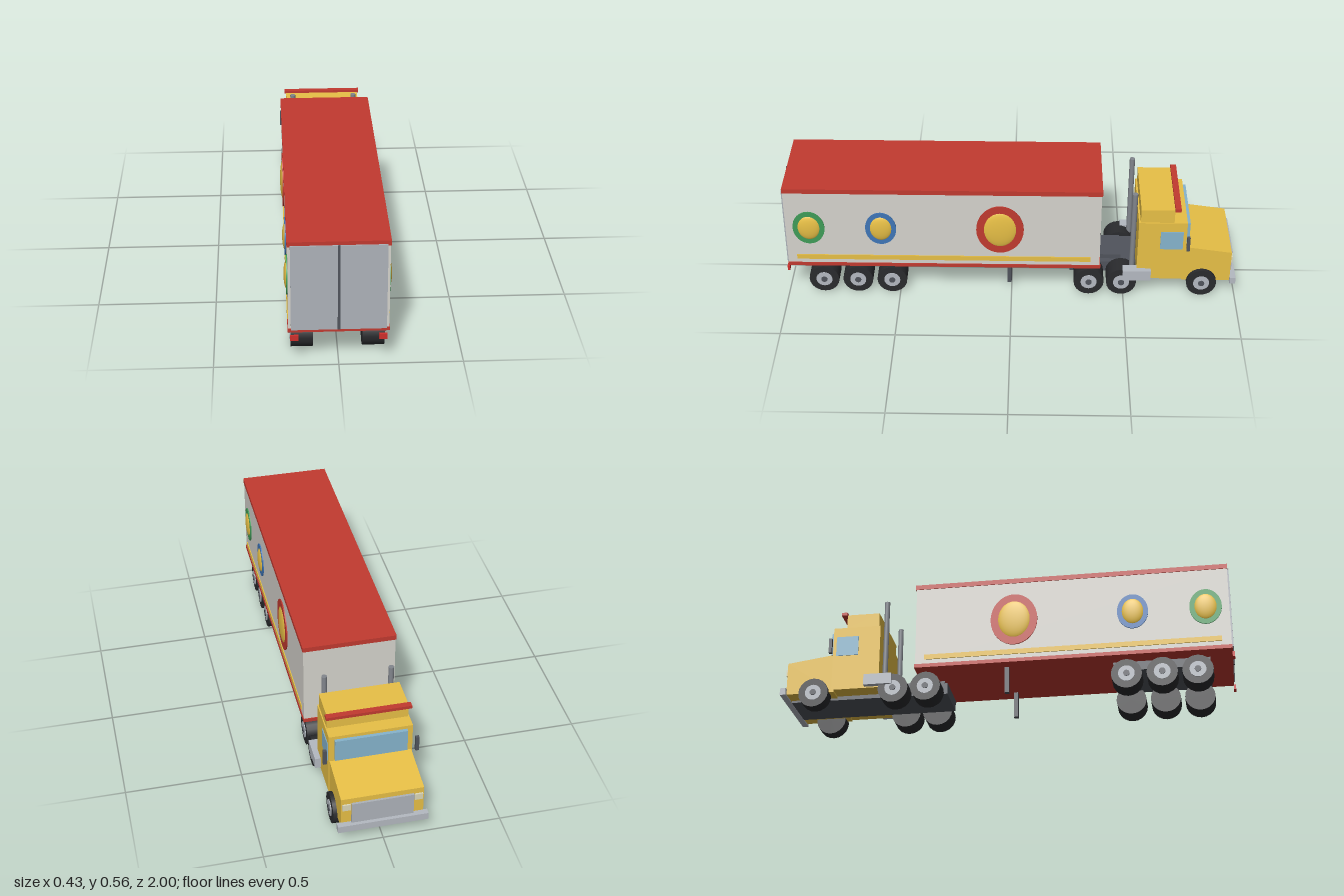
import * as THREE from 'three';

const mat = (color) => new THREE.MeshStandardMaterial({ color });
const M = {
  red: mat(0xc23a30), yellow: mat(0xe8c046), cream: mat(0xd6d4cd), door: mat(0xaeb3ba),
  dark: mat(0x50545c), chrome: mat(0xb4b9c1), steel: mat(0x82868d), glass: mat(0x86b4cd),
  tyre: mat(0x2a2b2e), green: mat(0x3f9d58), blue: mat(0x3f76b8), lamp: mat(0xddd8b8), lampRed: mat(0xd0302c),
};

export function createModel() {
  const root = new THREE.Group();
  root.name = 'articulatedTruck';

  const group = (name, parent = root) => {
    const g = new THREE.Group();
    g.name = name;
    parent.add(g);
    return g;
  };
  const add = (parent, name, geometry, material) => {
    const mesh = new THREE.Mesh(geometry, material);
    mesh.name = name;
    parent.add(mesh);
    return mesh;
  };
  // Box given by its extents on each axis
  const box = (parent, name, material, [x0, x1], [y0, y1], [z0, z1]) => {
    const m = add(parent, name, new THREE.BoxGeometry(x1 - x0, y1 - y0, z1 - z0), material);
    m.position.set((x0 + x1) / 2, (y0 + y1) / 2, (z0 + z1) / 2);
    return m;
  };
  // The same box on both sides, x given for the left (+x)
  const pair = (parent, name, material, [x0, x1], ys, zs) => {
    box(parent, name + 'Left', material, [x0, x1], ys, zs);
    box(parent, name + 'Right', material, [-x1, -x0], ys, zs);
  };
  // Cylinder lying along x from x0 to x1
  const disc = (parent, name, material, r, x0, x1, sides = 20) => {
    const g = new THREE.CylinderGeometry(r, r, x1 - x0, sides).rotateZ(-Math.PI / 2);
    const m = add(parent, name, g, material);
    m.position.x = (x0 + x1) / 2;
    return m;
  };
  const wheels = (parent, name, z, inner) => {
    for (const side of [1, -1]) {
      const w = group(name + (side > 0 ? 'Left' : 'Right'), parent);
      w.position.set(0, 0.067, z);
      if (side < 0) w.rotation.y = Math.PI;
      disc(w, 'tyre', M.tyre, 0.067, inner, 0.19);
      disc(w, 'rim', M.chrome, 0.036, 0.16, 0.193);
      disc(w, 'hub', M.dark, 0.014, 0.16, 0.197, 12);
    }
  };

  // Trailer body
  const trailer = group('trailer');
  box(trailer, 'cargoBox', M.cream, [-0.2, 0.2], [0.16, 0.54], [-0.39, 0.99]);
  box(trailer, 'roof', M.red, [-0.203, 0.203], [0.534, 0.556], [-0.394, 0.992]);
  box(trailer, 'floorRail', M.red, [-0.203, 0.203], [0.15, 0.167], [-0.394, 0.992]);
  pair(trailer, 'rearDoor', M.door, [0.004, 0.19], [0.163, 0.54], [0.98, 0.997]);
  box(trailer, 'doorSeam', M.dark, [-0.005, 0.005], [0.163, 0.54], [0.98, 1]);
  pair(trailer, 'sideStripe', M.yellow, [0.195, 0.204], [0.187, 0.21], [-0.35, 0.95]);
  pair(trailer, 'tailLamp', M.lampRed, [0.16, 0.193], [0.115, 0.138], [0.99, 1]);
  pair(trailer, 'landingLeg', M.dark, [0.13, 0.15], [0.03, 0.155], [0, 0.02]);
  box(trailer, 'bogie', M.dark, [-0.125, 0.125], [0.11, 0.152], [0.475, 0.895]);
  for (const z of [0.84, 0.688, 0.535]) wheels(trailer, 'trailerWheel', z, 0.1);

  // Oval medallions: a flat coloured ring with a shallow dome
  const medallions = [
    [M.red, 0.05, 0.104, 0.122, 0.075, 0.092],
    [M.blue, 0.572, 0.068, 0.082, 0.05, 0.063],
    [M.green, 0.888, 0.07, 0.083, 0.051, 0.063],
  ];
  for (const [color, z, rz, ry, domeZ, domeY] of medallions) {
    for (const side of [1, -1]) {
      const m = group('medallion' + (side > 0 ? 'Left' : 'Right'), trailer);
      m.position.set(side * 0.2, 0.355, z);
      disc(m, 'medallionRing', color, 1, -0.005, 0.005, 32).scale.set(1, ry, rz);
      add(m, 'medallionDome', new THREE.SphereGeometry(1, 28, 18), M.yellow).scale.set(0.015, domeY, domeZ);
    }
  }

  // Tractor chassis
  const tractor = group('tractor');
  box(tractor, 'chassis', M.dark, [-0.1, 0.1], [0.062, 0.113], [-0.97, -0.262]);
  box(tractor, 'couplingPlate', M.dark, [-0.075, 0.075], [0.113, 0.135], [-0.49, -0.28]);
  for (const z of [-0.345, -0.49]) wheels(tractor, 'driveWheel', z, 0.1);
  wheels(tractor, 'frontWheel', -0.848, 0.13);
  pair(tractor, 'fuelTank', M.chrome, [0.155, 0.202], [0.085, 0.135], [-0.62, -0.495]);

  // Cab and sloping hood
  box(tractor, 'cab', M.yellow, [-0.177, 0.177], [0.08, 0.38], [-0.77, -0.557]);
  box(tractor, 'roofFairing', M.yellow, [-0.172, 0.172], [0.38, 0.445], [-0.712, -0.565]);
  const hoodSide = new THREE.Shape([[0.76, 0.072], [0.975, 0.072], [0.975, 0.222], [0.76, 0.252]]
    .map(([x, y]) => new THREE.Vector2(x, y)));
  const hood = add(tractor, 'hood',
    new THREE.ExtrudeGeometry(hoodSide, { depth: 0.346, bevelEnabled: false }), M.yellow);
  hood.rotation.y = Math.PI / 2;
  hood.position.x = -0.173;
  box(tractor, 'roofBar', M.red, [-0.18, 0.18], [0.442, 0.456], [-0.738, -0.712]);

  // Glass and mirrors
  box(tractor, 'windscreen', M.glass, [-0.153, 0.153], [0.262, 0.365], [-0.785, -0.765]);
  pair(tractor, 'sideWindow', M.glass, [0.17, 0.18], [0.243, 0.335], [-0.755, -0.655]);
  pair(tractor, 'mirror', M.dark, [0.188, 0.203], [0.25, 0.32], [-0.784, -0.77]);

  // Nose
  box(tractor, 'grille', M.door, [-0.13, 0.13], [0.095, 0.198], [-0.985, -0.97]);
  pair(tractor, 'headlight', M.lamp, [0.134, 0.168], [0.165, 0.195], [-0.982, -0.97]);
  box(tractor, 'bumper', M.chrome, [-0.19, 0.19], [0.065, 0.097], [-1, -0.974]);

  // Exhaust stacks
  for (const x of [0.143, -0.143]) {
    const g = new THREE.CylinderGeometry(0.012, 0.012, 0.4, 12);
    add(tractor, 'exhaustStack', g, M.steel).position.set(x, 0.31, -0.537);
  }

  return root;
}
